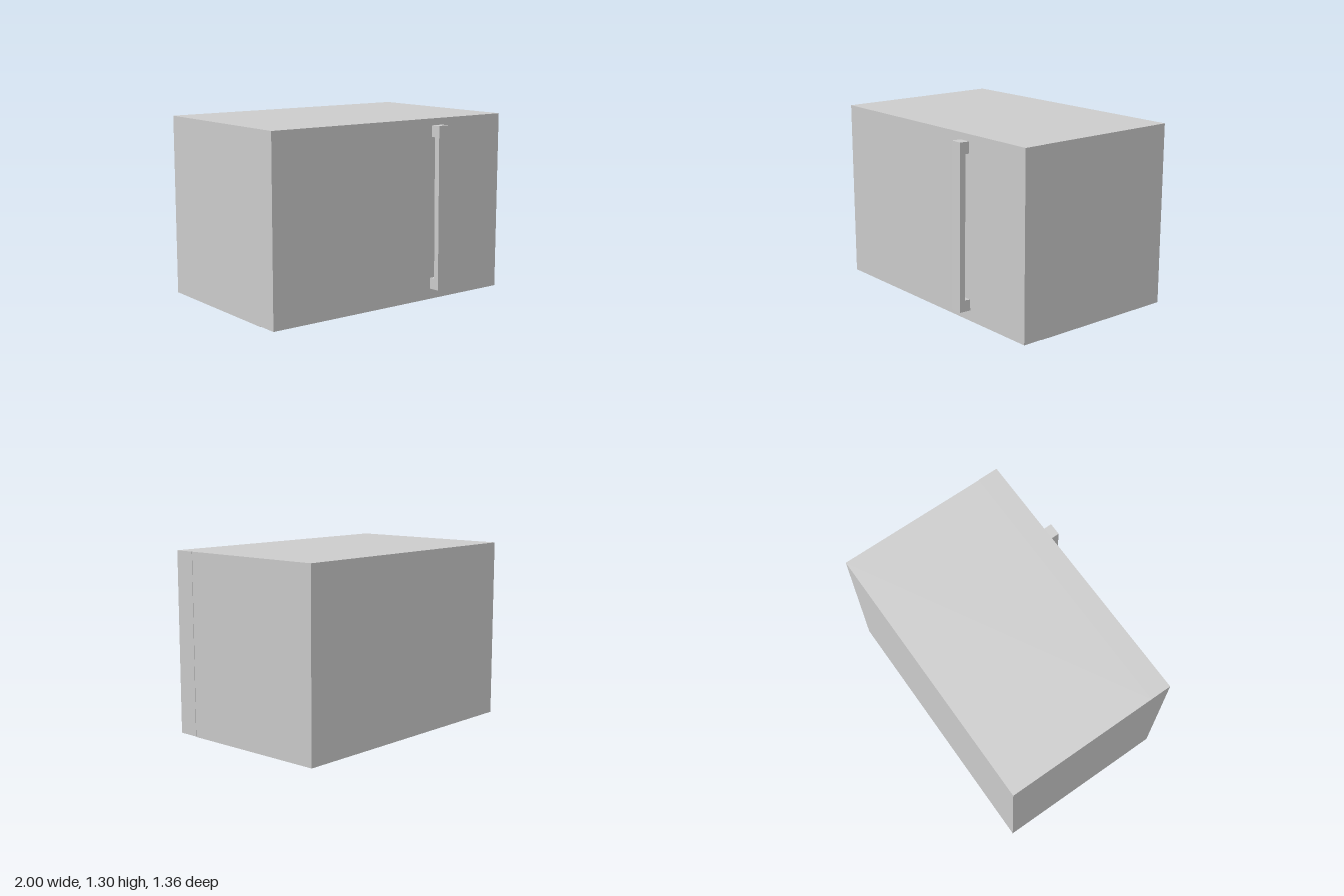
import * as THREE from 'three';

const material = new THREE.MeshStandardMaterial({ color: 0xcccccc, flatShading: true });

// Box given by its minimum and maximum corners
function boxBetween(name, min, max) {
  const size = max.map((v, i) => v - min[i]);
  const mesh = new THREE.Mesh(new THREE.BoxGeometry(...size), material);
  mesh.position.set(...min.map((v, i) => (v + max[i]) / 2));
  mesh.name = name;
  return mesh;
}

// Slanted pull bar with a mount at each end: side profile (z, y) extruded across x
function createHandle() {
  const profile = [
    [0.593, 0.08], [0.68, 0.083], [0.667, 1.258], [0.593, 1.256],
    [0.593, 1.175], [0.624, 1.175], [0.638, 0.163], [0.593, 0.159],
  ];
  const shape = new THREE.Shape(profile.map(([z, y]) => new THREE.Vector2(z, y)));
  const geometry = new THREE.ExtrudeGeometry(shape, { depth: 0.092, bevelEnabled: false });
  geometry.rotateY(-Math.PI / 2);
  const handle = new THREE.Mesh(geometry, material);
  handle.position.x = 0.438;
  handle.name = 'handle';
  return handle;
}

export function createModel() {
  const model = new THREE.Group();
  model.name = 'cabinet';
  // Cabinet with a door panel that stands very slightly proud on one side
  model.add(boxBetween('body', [-1, 0, -0.678], [0.997, 1.305, 0.44]));
  model.add(boxBetween('door', [-1, 0.004, 0.44], [1, 1.305, 0.593]));
  model.add(createHandle());
  return model;
}
